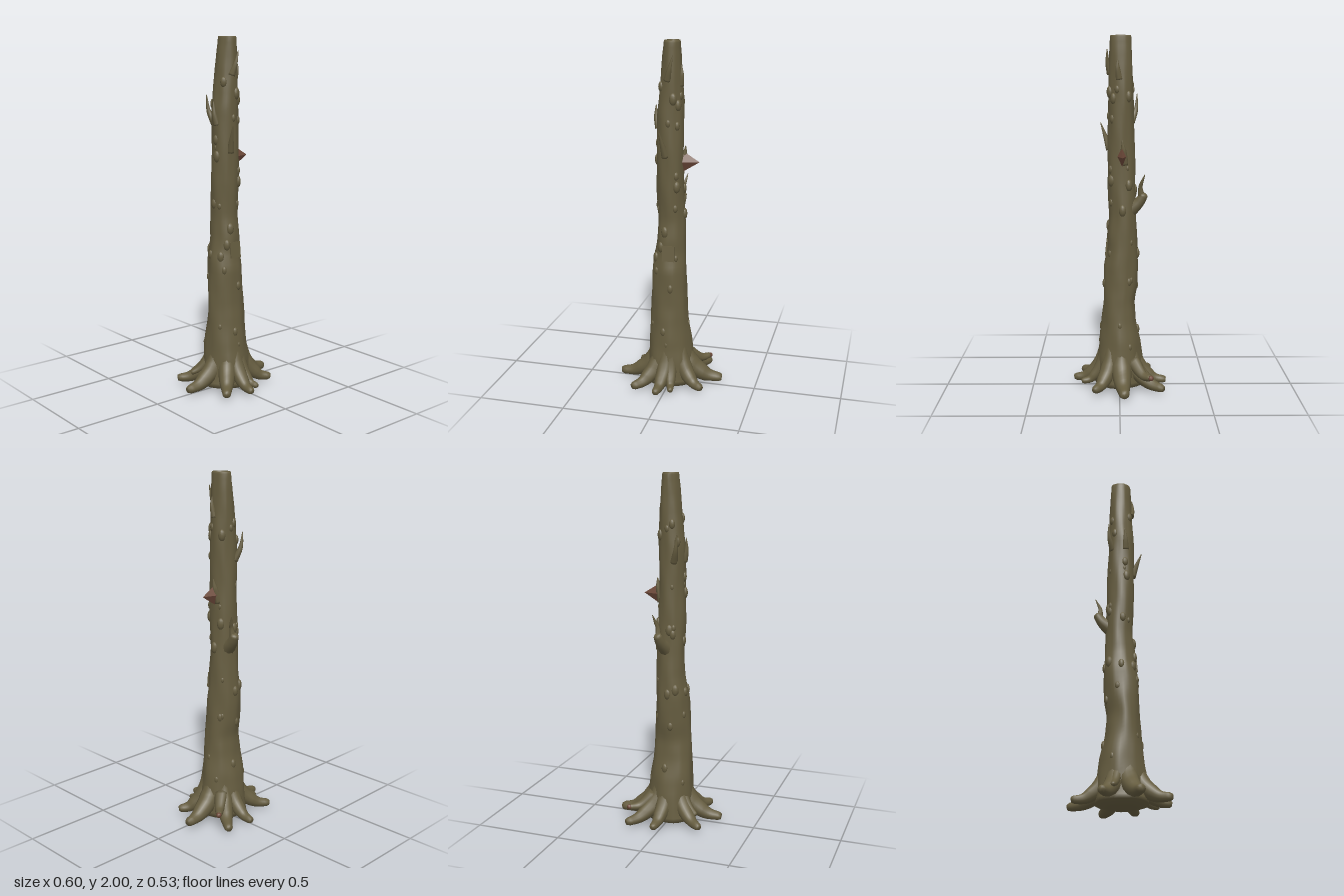
import * as THREE from 'three';

const V = (x, y, z) => new THREE.Vector3(x, y, z);

// Trunk profile: height, left x, right x, back z, front z
const PROFILE = [
  [0.02, -0.15, 0.14, -0.145, 0.14], [0.08, -0.14, 0.135, -0.14, 0.135],
  [0.15, -0.135, 0.13, -0.135, 0.13], [0.25, -0.13, 0.12, -0.125, 0.115],
  [0.4, -0.12, 0.103, -0.096, 0.1], [0.5, -0.116, 0.097, -0.086, 0.091],
  [0.6, -0.113, 0.09, -0.1, 0.09], [0.7, -0.108, 0.085, -0.105, 0.09],
  [0.77, -0.104, 0.082, -0.105, 0.077], [0.8, -0.096, 0.08, -0.103, 0.07],
  [0.88, -0.085, 0.078, -0.1, 0.07], [1.0, -0.08, 0.075, -0.095, 0.056],
  [1.2, -0.085, 0.07, -0.09, 0.065], [1.4, -0.08, 0.066, -0.085, 0.068],
  [1.6, -0.083, 0.067, -0.08, 0.063], [1.7, -0.072, 0.065, -0.078, 0.06],
  [1.8, -0.06, 0.06, -0.075, 0.058], [1.9, -0.051, 0.055, -0.07, 0.055],
  [1.99, -0.041, 0.048, -0.065, 0.053],
];

function section(y) {
  let i = 0;
  while (i < PROFILE.length - 2 && PROFILE[i + 1][0] < y) i++;
  const a = PROFILE[i], b = PROFILE[i + 1];
  const t = THREE.MathUtils.smoothstep(y, a[0], b[0]) * 0.4 + 0.6 * (y - a[0]) / (b[0] - a[0]);
  const [x0, x1, z0, z1] = [1, 2, 3, 4].map(k => a[k] + (b[k] - a[k]) * t);
  return { cx: (x0 + x1) / 2, cz: (z0 + z1) / 2, rx: (x1 - x0) / 2, rz: (z1 - z0) / 2 };
}

// Point on the bark at height y and angle a
function barkPoint(y, a, scale = 1) {
  const s = section(y);
  const k = scale * (1 + 0.02 * Math.sin(3 * a + y * 9) + 0.018 * Math.sin(5 * a - y * 17) + 0.012 * Math.sin(9 * a + y * 6));
  return V(s.cx + s.rx * k * Math.cos(a), y, s.cz + s.rz * k * Math.sin(a));
}

// Joins rings of equal size and closes both ends
function loft(rings) {
  const n = rings[0].length, pos = [], index = [];
  rings.forEach(r => r.forEach(p => pos.push(p.x, p.y, p.z)));
  for (let i = 0; i < rings.length - 1; i++) {
    for (let j = 0; j < n; j++) {
      const a = i * n + j, b = i * n + (j + 1) % n;
      index.push(a, a + n, b, b, a + n, b + n);
    }
  }
  [0, rings.length - 1].forEach((ri, end) => {
    const c = rings[ri].reduce((s, p) => s.add(p), V(0, 0, 0)).divideScalar(n);
    const ci = pos.length / 3;
    pos.push(c.x, c.y, c.z);
    for (let j = 0; j < n; j++) {
      const a = ri * n + j, b = ri * n + (j + 1) % n;
      if (end) index.push(ci, b, a); else index.push(ci, a, b);
    }
  });
  const g = new THREE.BufferGeometry();
  g.setAttribute('position', new THREE.Float32BufferAttribute(pos, 3));
  g.setIndex(index);
  g.computeVertexNormals();
  return g;
}

// Tapered limb along a smooth path; radii match the path points
function limb(points, radii, sides = 10, steps = 14, floor = 0) {
  const curve = new THREE.CatmullRomCurve3(points);
  const chord = points[points.length - 1].clone().sub(points[0]).normalize();
  const ref = Math.abs(chord.y) < 0.8 ? V(0, 1, 0) : V(1, 0, 0);
  const rings = [];
  for (let i = 0; i <= steps; i++) {
    const t = i / steps, f = t * (radii.length - 1), k = Math.min(Math.floor(f), radii.length - 2);
    const r = THREE.MathUtils.lerp(radii[k], radii[k + 1], f - k) * (i === steps ? 0.75 : 1);
    const c = curve.getPoint(t), T = curve.getTangent(t);
    const u = T.clone().cross(ref).normalize(), v = u.clone().cross(T);
    rings.push(Array.from({ length: sides }, (_, j) => {
      const a = j / sides * Math.PI * 2;
      const p = c.clone().addScaledVector(u, r * Math.cos(a)).addScaledVector(v, r * Math.sin(a));
      p.y = Math.max(p.y, floor);
      return p;
    }));
  }
  return loft(rings);
}

export function createModel() {
  const model = new THREE.Group();
  const bark = new THREE.MeshStandardMaterial({ color: 0x665d40 });
  bark.name = 'olive bark';
  const wood = new THREE.MeshStandardMaterial({ color: 0x6e4a3a });
  wood.name = 'red brown wood';
  const add = (name, geometry, material = bark) => {
    const m = new THREE.Mesh(geometry, material);
    m.name = name;
    model.add(m);
    return m;
  };

  // Trunk
  const N = 32, rings = [];
  const ring = (y, scale, drop = 0) => Array.from({ length: N }, (_, j) => {
    const p = barkPoint(y, j / N * Math.PI * 2, scale);
    p.y -= drop;
    return p;
  });
  rings.push(ring(0.02, 0.5, 0.02));
  for (let i = 0; i <= 80; i++) rings.push(ring(0.02 + 1.97 * i / 80, 1));
  // Hollowed top with a rounded rim
  rings.push(ring(1.99, 0.95, -0.01), ring(1.99, 0.85, -0.008), ring(1.99, 0.72, 0.006), ring(1.99, 0.4, 0.014));
  add('trunk', loft(rings));

  // Roots: tip x, tip z, thickness
  const roots = [
    [0.022, -0.268, 0.9], [0.187, -0.248, 1], [0.3, -0.028, 1.15], [0.212, 0.142, 0.95],
    [0.047, 0.217, 0.7], [-0.033, 0.262, 0.9], [-0.18, 0.215, 1], [-0.3, 0.016, 1.05], [-0.227, -0.178, 0.95],
  ];
  for (const [x, z, w] of roots) {
    const L = Math.hypot(x, z), at = (d, y) => V(x / L * d, y, z / L * d);
    add('root', limb(
      [at(0.075, 0.27), at(0.105, 0.13), at(L * 0.4 + 0.06, 0.065), at(L * 0.7 + 0.02, 0.042), at(L, 0.035)],
      [0.03, 0.052 * w, 0.042 * w, 0.031 * w, 0.022 * w], 12, 18, 0.015));
  }
  add('sideRoot', limb([V(0.08, 0.16, -0.08), V(0.15, 0.1, -0.135), V(0.198, 0.1, -0.178)], [0.04, 0.026, 0.016]));
  add('sideRootTip', limb([V(0.194, 0.1, -0.174), V(0.206, 0.1, -0.185)], [0.0165, 0.013], 8, 3), wood);
  add('sideRoot', limb([V(-0.08, 0.17, -0.05), V(-0.14, 0.1, -0.08), V(-0.185, 0.075, -0.103)], [0.035, 0.022, 0.012]));

  // Splintered branch stump on the side
  const shard = new THREE.ConeGeometry(0.065, 0.105, 4);
  shard.rotateZ(-Math.PI / 2);
  shard.scale(1, 1, 0.45);
  const shardMesh = add('splinter', shard.toNonIndexed(), wood);
  shardMesh.geometry.computeVertexNormals();
  shardMesh.position.set(0.105, 1.335, -0.015);
  add('splinterCollar', limb([V(0.05, 1.29, -0.03), V(0.07, 1.37, -0.022), V(0.078, 1.425, -0.015)], [0.022, 0.016, 0.002], 6));

  // Broken branch at the back with its twig
  add('branchStub', limb([V(0.01, 1.03, -0.06), V(0.025, 1.075, -0.11), V(0.035, 1.125, -0.142)], [0.045, 0.031, 0.022]));
  add('branchTwig', limb([V(0.033, 1.1, -0.125), V(0.04, 1.16, -0.118), V(0.05, 1.19, -0.125), V(0.062, 1.235, -0.142)],
    [0.02, 0.012, 0.009, 0.002], 6));

  // Thin twigs close to the trunk
  const twigs = [
    [V(-0.02, 1.37, 0.055), V(-0.032, 1.44, 0.078), V(-0.045, 1.52, 0.106)],
    [V(-0.01, 1.79, 0.05), V(0.005, 1.85, 0.065), V(0.024, 1.925, 0.068)],
    [V(-0.035, 1.52, -0.065), V(-0.055, 1.59, -0.093), V(-0.065, 1.68, -0.1)],
    [V(-0.07, 1.52, 0.0), V(-0.087, 1.58, -0.005), V(-0.088, 1.65, -0.01)],
    [V(0.05, 1.76, 0.0), V(0.06, 1.82, 0.01), V(0.06, 1.87, 0.01)],
  ];
  for (const p of twigs) add('twig', limb(p, [0.022, 0.013, 0.002], 7));

  // Bark flap at the front
  const flap = add('barkFlap', new THREE.BoxGeometry(0.07, 0.09, 0.008));
  flap.position.set(0, 0.815, 0.073);
  flap.rotation.x = -0.1;

  // Knots scattered over the bark
  let seed = 7;
  const rand = () => (seed = (seed * 16807) % 2147483647) / 2147483647;
  const knot = new THREE.SphereGeometry(1, 10, 8);
  for (let i = 0; i < 46; i++) {
    const y = 0.25 + 1.6 * rand(), a = rand() * Math.PI * 2, r = 0.009 + 0.013 * rand();
    const m = add('knot', knot);
    m.position.copy(barkPoint(y, a, 0.96));
    m.rotation.y = -a;
    m.scale.set(r * 0.75, r * 1.6, r);
  }
  return model;
}
